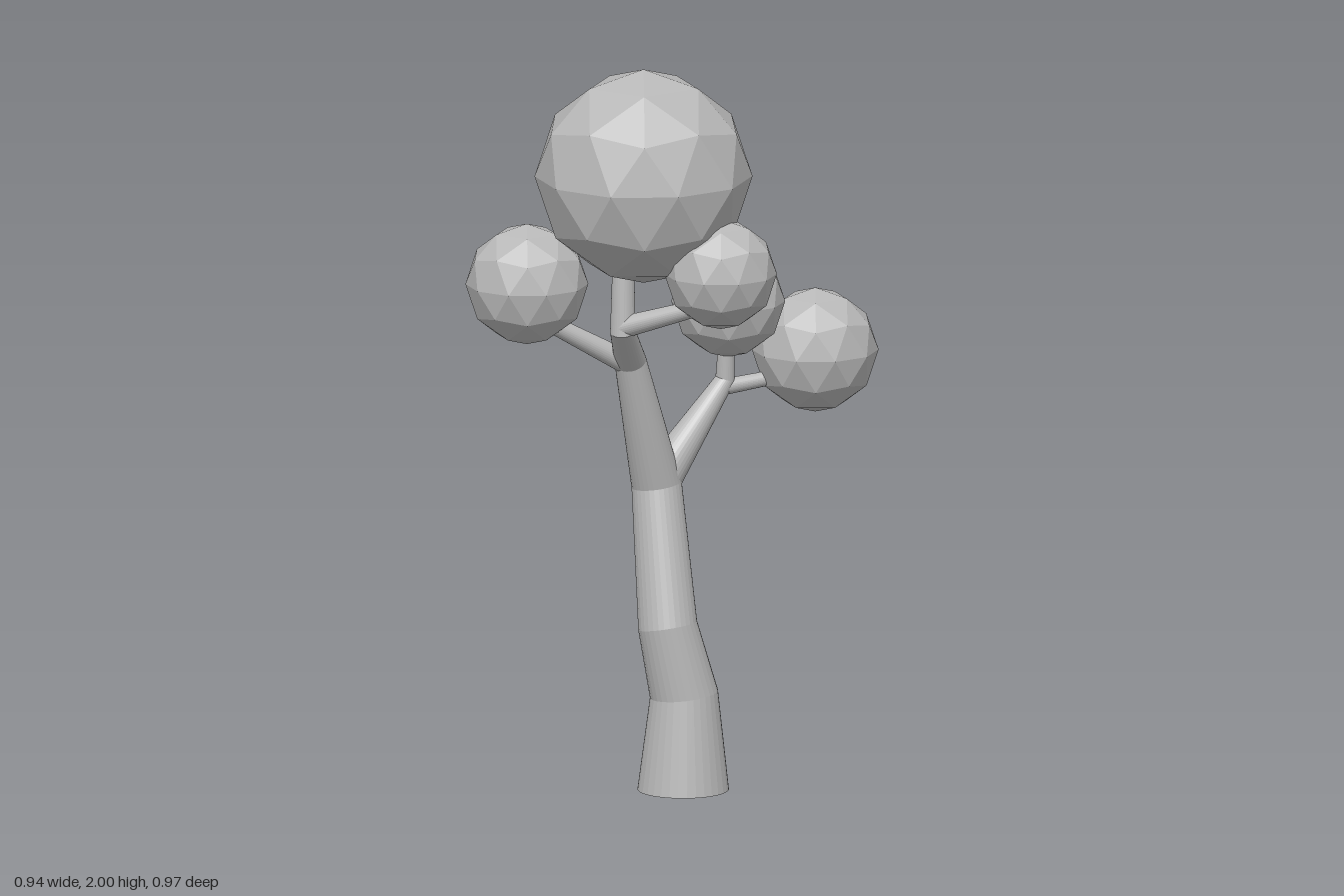
import * as THREE from 'three';

const SIDES = 32;

// Lofted limb: each ring is [x, y, z, radius], set square to the averaged direction of the path
function limbGeometry(rings, flatBase) {
  const points = rings.map(([x, y, z]) => new THREE.Vector3(x, y, z));
  const up = new THREE.Vector3(0, 1, 0);
  const positions = [];
  const indices = [];
  const last = rings.length - 1;
  rings.forEach((ring, i) => {
    const dir = new THREE.Vector3();
    if (i > 0) dir.add(points[i].clone().sub(points[i - 1]).normalize());
    if (i < last) dir.add(points[i + 1].clone().sub(points[i]).normalize());
    if (i === 0 && flatBase) dir.copy(up);
    const turn = new THREE.Quaternion().setFromUnitVectors(up, dir.normalize());
    for (let s = 0; s < SIDES; s++) {
      const a = (s / SIDES) * Math.PI * 2;
      const p = new THREE.Vector3(Math.cos(a), 0, -Math.sin(a))
        .multiplyScalar(ring[3]).applyQuaternion(turn).add(points[i]);
      positions.push(p.x, p.y, p.z);
    }
  });
  for (let i = 0; i < last; i++) {
    for (let s = 0; s < SIDES; s++) {
      const n = (s + 1) % SIDES;
      const a = i * SIDES + s, b = i * SIDES + n;
      indices.push(a, b, b + SIDES, a, b + SIDES, a + SIDES);
    }
  }
  // End caps
  for (let s = 1; s < SIDES - 1; s++) {
    indices.push(0, s + 1, s);
    indices.push(last * SIDES, last * SIDES + s, last * SIDES + s + 1);
  }
  const geometry = new THREE.BufferGeometry();
  geometry.setAttribute('position', new THREE.Float32BufferAttribute(positions, 3));
  geometry.setIndex(indices);
  const faceted = geometry.toNonIndexed();
  faceted.computeVertexNormals();
  return faceted;
}

// Faceted ball standing on one of its corners
function foliageGeometry(radius) {
  const geometry = new THREE.IcosahedronGeometry(radius, 1);
  geometry.rotateZ(-Math.atan(2 / (1 + Math.sqrt(5))));
  geometry.computeVertexNormals();
  return geometry;
}

export function createModel() {
  const tree = new THREE.Group();
  tree.name = 'tree';
  const grey = new THREE.MeshStandardMaterial({ color: 0xb8b8b8, flatShading: true });
  grey.name = 'plain grey';

  const add = (name, geometry) => {
    const mesh = new THREE.Mesh(geometry, grey);
    mesh.name = name;
    tree.add(mesh);
    return mesh;
  };

  // Trunk, running up into the crown
  add('trunk', limbGeometry([
    [0.048, 0, 0.04, 0.123],
    [0.048, 0.26, 0.033, 0.092],
    [0.01, 0.45, 0.058, 0.08],
    [-0.043, 0.82, -0.012, 0.068],
    [-0.08, 1.18, 0.105, 0.043],
    [-0.067, 1.285, 0.215, 0.034],
    [-0.07, 1.45, 0.2, 0.03],
    [-0.02, 1.7, 0.19, 0.025],
  ], true));

  // Side branches and twigs
  add('backBranch', limbGeometry([
    [-0.043, 0.82, -0.012, 0.06],
    [0.1, 1.085, -0.17, 0.027],
    [0.105, 1.18, -0.165, 0.022],
    [0.112, 1.3, -0.16, 0.018],
  ]));
  add('backTwig', limbGeometry([
    [0.1, 1.065, -0.165, 0.022],
    [0.2, 1.08, -0.24, 0.02],
    [0.308, 1.15, -0.315, 0.016],
  ]));
  add('rightTwig', limbGeometry([
    [-0.08, 1.17, 0.105, 0.032],
    [-0.27, 1.3, 0.235, 0.024],
    [-0.318, 1.4, 0.275, 0.018],
  ]));
  add('leftTwig', limbGeometry([
    [-0.067, 1.295, 0.215, 0.03],
    [0.12, 1.355, 0.22, 0.024],
    [0.212, 1.45, 0.22, 0.018],
  ]));

  // Foliage balls: name, centre, radius
  const foliage = [
    ['topFoliage', -0.017, 1.7075, 0.188, 0.2925],
    ['rightFoliage', -0.318, 1.41, 0.274, 0.165],
    ['leftFoliage', 0.21, 1.46, 0.22, 0.151],
    ['backFoliage', 0.112, 1.302, -0.16, 0.153],
    ['lowerBackFoliage', 0.308, 1.15, -0.315, 0.17],
  ];
  for (const [name, x, y, z, radius] of foliage) {
    add(name, foliageGeometry(radius)).position.set(x, y, z);
  }

  return tree;
}
